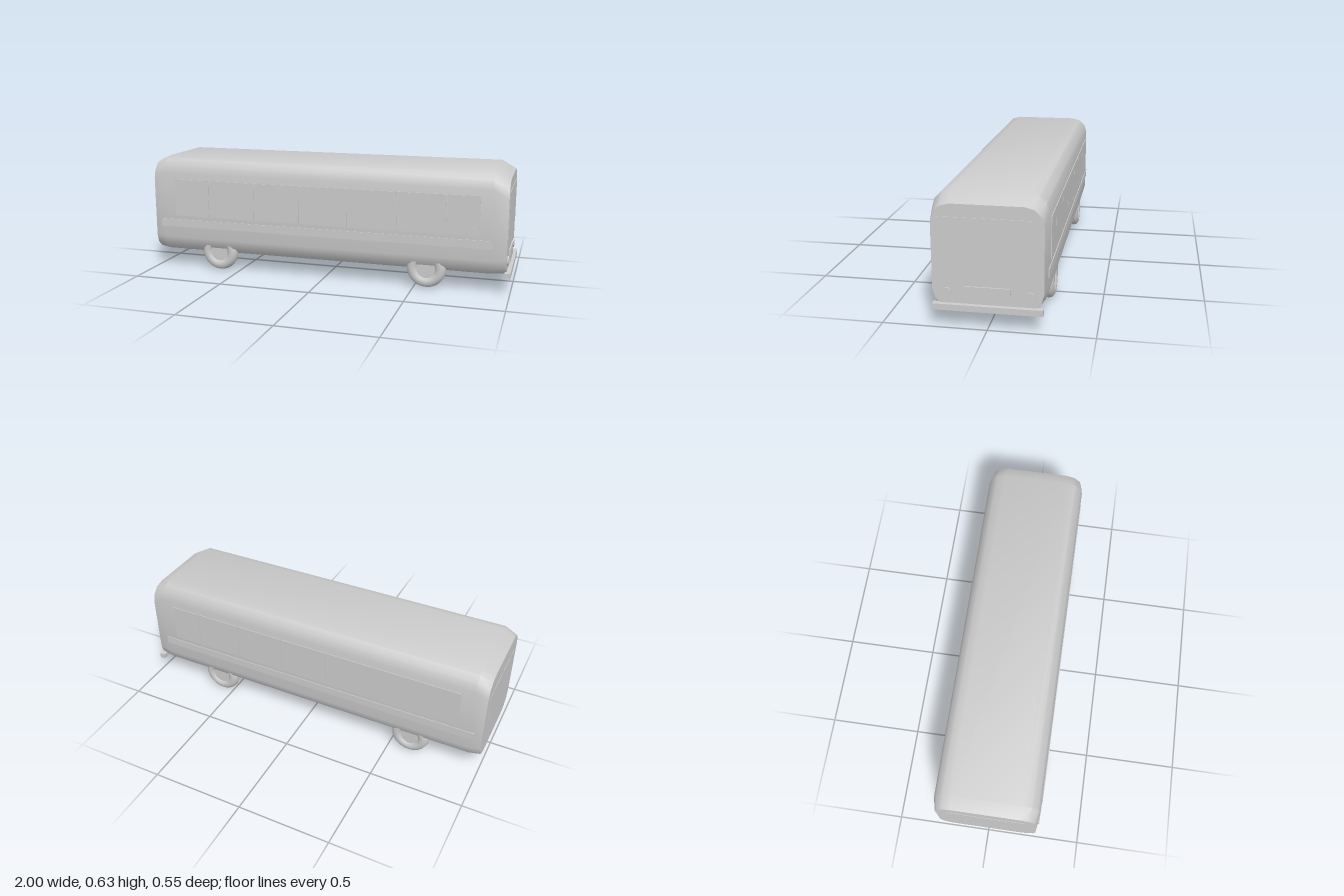
import * as THREE from 'three';
import { toCreasedNormals } from 'three/addons/utils/BufferGeometryUtils.js';

const material = new THREE.MeshStandardMaterial({ color: 0xcccccc });

function add(parent, name, geometry, x, y, z) {
  const mesh = new THREE.Mesh(geometry, material);
  mesh.name = name;
  mesh.position.set(x, y, z);
  parent.add(mesh);
  return mesh;
}

// Box given by its limits on each axis
function addBox(parent, name, x0, x1, y0, y1, z0, z1) {
  return add(parent, name, new THREE.BoxGeometry(x1 - x0, y1 - y0, z1 - z0),
    (x0 + x1) / 2, (y0 + y1) / 2, (z0 + z1) / 2);
}

// Rounded cross-section in the yz plane, three facets per corner
function section(x, halfWidth, bottom, top) {
  const r = 0.09, points = [];
  const corners = [[1, 1], [-1, 1], [-1, -1], [1, -1]];
  corners.forEach(([sz, sy], corner) => {
    for (let i = 0; i <= 3; i++) {
      const a = (corner + i / 3) * Math.PI / 2;
      points.push([x,
        (sy > 0 ? top - r : bottom + r) + r * Math.sin(a),
        sz * (halfWidth - r) + r * Math.cos(a)]);
    }
  });
  return points;
}

// Body lofted through sections that taper at both ends
function bodyGeometry() {
  const rings = [
    section(-1, 0.26, 0.095, 0.605),
    section(-0.935, 0.27, 0.088, 0.635),
    section(0.9, 0.27, 0.088, 0.635),
    section(0.978, 0.26, 0.095, 0.592),
  ];
  const n = rings[0].length, index = [];
  for (let s = 0; s < rings.length - 1; s++) {
    for (let i = 0; i < n; i++) {
      const j = (i + 1) % n;
      const a = s * n + i, b = s * n + j, c = a + n, d = b + n;
      index.push(a, c, b, b, c, d);
    }
  }
  const last = (rings.length - 1) * n;
  for (let i = 1; i < n - 1; i++) {
    index.push(0, i, i + 1);
    index.push(last, last + i + 1, last + i);
  }
  const geometry = new THREE.BufferGeometry();
  geometry.setAttribute('position', new THREE.Float32BufferAttribute(rings.flat(2), 3));
  geometry.setIndex(index);
  return toCreasedNormals(geometry, 0.6);
}

export function createModel() {
  const bus = new THREE.Group();
  bus.name = 'bus';

  add(bus, 'body', bodyGeometry(), 0, 0, 0);

  // Side windows and trim strips
  const breaks = [-0.87, -0.66, -0.39, -0.13, 0.14, 0.41, 0.67, 0.84];
  for (const side of [1, -1]) {
    const z0 = side > 0 ? 0.262 : -0.274, z1 = z0 + 0.012;
    for (let i = 0; i < breaks.length - 1; i++) {
      addBox(bus, 'sideWindow', breaks[i] + 0.002, breaks[i + 1] - 0.002, 0.305, 0.512, z0, z1);
    }
    addBox(bus, 'sideTrim', -0.96, 0.91, 0.24, 0.283, z0, z1);
  }

  // Front and rear end details
  addBox(bus, 'windscreen', 0.97, 0.981, 0.29, 0.53, -0.23, 0.23);
  addBox(bus, 'rearWindow', -1.002, -0.99, 0.35, 0.5, -0.2, 0.2);
  addBox(bus, 'grille', 0.97, 0.985, 0.128, 0.203, -0.108, 0.108);
  addBox(bus, 'frontBumper', 0.97, 1, 0.086, 0.116, -0.258, 0.258);
  for (const z of [0.195, -0.195]) {
    const lamp = add(bus, 'headlight', new THREE.CylinderGeometry(0.025, 0.025, 0.02, 24), 0.975, 0.167, z);
    lamp.rotation.z = -Math.PI / 2;
  }

  // Wheels: round tyre with a recessed hub
  for (const x of [-0.615, 0.565]) {
    for (const side of [1, -1]) {
      const wheel = new THREE.Group();
      wheel.name = 'wheel';
      wheel.position.set(x, 0.104, side * 0.231);
      add(wheel, 'tyre', new THREE.TorusGeometry(0.073, 0.031, 10, 28), 0, 0, 0);
      const hub = add(wheel, 'hub', new THREE.CylinderGeometry(0.05, 0.05, 0.04, 20), 0, 0, 0);
      hub.rotation.x = Math.PI / 2;
      bus.add(wheel);
    }
  }
  return bus;
}
